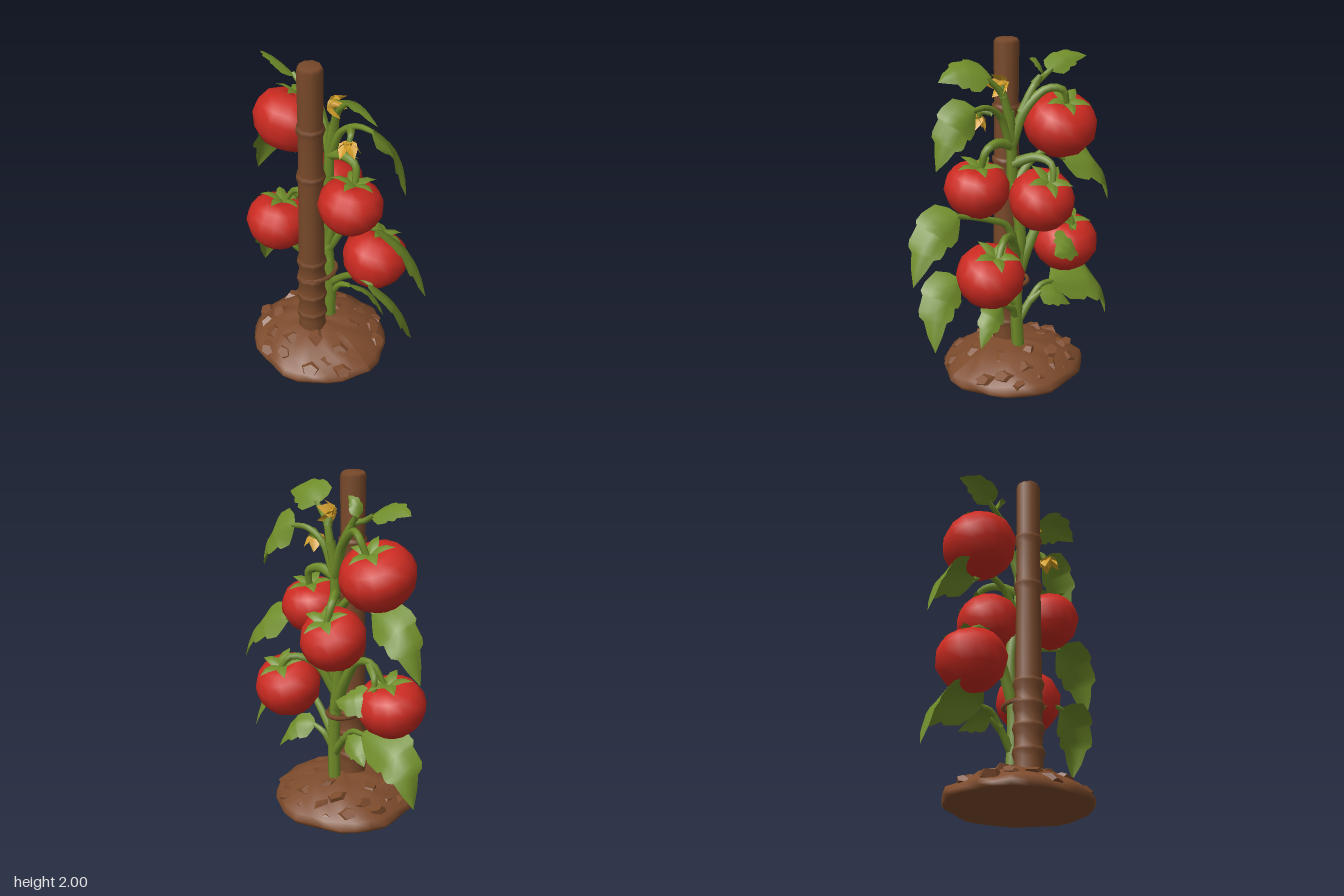
import * as THREE from 'three';

const V = (x, y, z) => new THREE.Vector3(x, y, z);
const mat = (name, color, side = THREE.FrontSide) => {
  const m = new THREE.MeshStandardMaterial({ color, side });
  m.name = name;
  return m;
};

export function createModel() {
  const root = new THREE.Group();
  root.name = 'tomatoPlant';
  const soil = mat('soil brown', 0x7d4b2c);
  const wood = mat('wood brown', 0x774829);
  const green = mat('leaf green', 0x6f8c29, THREE.DoubleSide);
  const red = mat('tomato red', 0xcb2a20);
  const yellow = mat('flower yellow', 0xd29e28, THREE.DoubleSide);

  let seed = 7;
  const rnd = () => (seed = (seed * 16807) % 2147483647) / 2147483647;
  const add = (name, geo, m, parent = root) => {
    const mesh = new THREE.Mesh(geo, m);
    mesh.name = name;
    parent.add(mesh);
    return mesh;
  };
  const lathe = (pts, n) => new THREE.LatheGeometry(pts.map(p => new THREE.Vector2(p[0], p[1])), n);

  // Tapered tube through a few points
  function stalk(name, pts, r0, r1) {
    const curve = new THREE.CatmullRomCurve3(pts.map(p => V(...p)));
    const rows = 4 * (pts.length - 1), sides = 6;
    const geo = new THREE.TubeGeometry(curve, rows, 1, sides);
    const pos = geo.attributes.position, v = V(0, 0, 0);
    for (let i = 0; i < pos.count; i++) {
      const t = Math.floor(i / (sides + 1)) / rows, c = curve.getPointAt(t);
      v.fromBufferAttribute(pos, i).sub(c).multiplyScalar(r0 + (r1 - r0) * t).add(c);
      pos.setXYZ(i, v.x, v.y, v.z);
    }
    add(name, geo, green);
  }

  // Blade swept along a curved spine; outline rows are [position, half width]
  const toothed = [[0, 0.06], [0.06, 0.55], [0.16, 0.95], [0.32, 1], [0.42, 0.98], [0.46, 0.82],
    [0.62, 0.84], [0.68, 0.78], [0.72, 0.54], [0.86, 0.36], [1, 0]];
  const plain = [[0, 0.5], [0.3, 1], [0.65, 0.7], [1, 0]];
  function bladeGeometry(base, mid, tip, half, normal, outline, fold) {
    // control point placed so that the spine passes through mid
    const ctrl = mid.clone().multiplyScalar(2).addScaledVector(base, -0.5).addScaledVector(tip, -0.5);
    const spine = new THREE.QuadraticBezierCurve3(base, ctrl, tip);
    const across = tip.clone().sub(base).setY(0).cross(normal).normalize();
    const cols = [-1, -0.5, 0, 0.5, 1], verts = [], idx = [];
    outline.forEach(([t, w], i) => {
      const p = spine.getPoint(t), T = spine.getTangent(t);
      const S = across.clone().addScaledVector(T, -across.dot(T)).normalize(), N = S.clone().cross(T);
      cols.forEach((c, j) => {
        const q = p.clone().addScaledVector(S, c * w * half).addScaledVector(N, -fold * half * w * Math.abs(c));
        verts.push(q.x, q.y, q.z);
        if (i && j) {
          const a = (i - 1) * 5 + j - 1, b = a + 1, d = a + 5, e = a + 6;
          idx.push(a, b, e, a, e, d);
        }
      });
    });
    const geo = new THREE.BufferGeometry();
    geo.setAttribute('position', new THREE.Float32BufferAttribute(verts, 3));
    geo.setIndex(idx);
    geo.computeVertexNormals();
    return geo;
  }

  // Five-pointed ring of blades, used for calyxes and flowers
  function star(name, r, half, rise, drop, m, parent) {
    for (let k = 0; k < 5; k++) {
      const a = k * Math.PI * 0.4 + 0.3, c = Math.cos(a), s = Math.sin(a);
      add(name, bladeGeometry(V(0, 0, 0), V(c * r * 0.5, rise, s * r * 0.5), V(c * r, drop, s * r),
        half, V(0, 1, 0), plain, 0.25), m, parent);
    }
  }

  // Soil mound with an uneven surface
  const mound = lathe([[0, 0], [0.39, 0], [0.405, 0.025], [0.385, 0.06], [0.32, 0.105], [0.24, 0.15], [0.15, 0.18], [0, 0.185]], 28);
  const mp = mound.attributes.position;
  for (let i = 0; i < mp.count; i++) {
    const x = mp.getX(i), y = mp.getY(i), z = mp.getZ(i), a = Math.atan2(x, z);
    const k = 1 + 0.02 * Math.sin(a * 5 + 1) + 0.02 * Math.sin(a * 9 + y * 40);
    mp.setXYZ(i, x * k, y && y + 0.012 * Math.sin(x * 31) * Math.cos(z * 27), z * k * 1.05);
  }
  mound.computeVertexNormals();
  add('soilMound', mound, soil).position.z = -0.04;

  // Broad clods half sunk in the mound
  for (let i = 0; i < 30; i++) {
    const a = i * 2.4, d = 0.12 + 0.24 * Math.sqrt((i + 0.5) / 30), r = 0.045 + 0.022 * rnd();
    const clod = add('soilClod', new THREE.DodecahedronGeometry(r, 0), soil);
    clod.position.set(Math.cos(a) * d * 0.95, 0.232 - 0.5 * d, Math.sin(a) * d - 0.04);
    clod.rotation.set(0.5 * rnd(), rnd() * 6, 0.5 * rnd());
    clod.scale.set(1.25, 0.65, 1.15);
  }

  // Wooden stake with ringed nodes
  const profile = [[0.094, 0.1]];
  for (const y of [0.3, 0.44, 0.57, 0.7, 1.31, 1.62]) {
    const r = 0.087 - y * 0.008;
    profile.push([r - 0.004, y - 0.05], [r + 0.009, y - 0.01], [r + 0.007, y + 0.008], [r - 0.004, y + 0.018]);
  }
  profile.push([0.073, 1.98], [0.06, 2], [0, 2]);
  const stake = add('stake', lathe(profile, 9), wood);
  stake.position.set(-0.068, 0, -0.04);

  // Tie holding the stem to the stake
  const tie = add('tie', new THREE.TorusGeometry(0.12, 0.015, 5, 16), wood);
  tie.rotation.x = Math.PI / 2;
  tie.scale.y = 0.75;
  tie.position.set(-0.015, 0.58, -0.035);

  // Main stem and side branches
  stalk('mainStem', [[0.073, 0.13, -0.03], [0.065, 0.5, -0.02], [0.06, 0.9, -0.05], [0.04, 1.2, -0.01], [0.04, 1.45, 0], [0.05, 1.62, 0.02]], 0.038, 0.028);
  const branches = [
    [[0.07, 0.36, -0.02], [0.09, 0.45, 0.04], [0.1, 0.48, 0.11]],
    [[0.07, 0.33, -0.03], [0.08, 0.45, -0.11], [0.08, 0.53, -0.18], [0.08, 0.54, -0.27]],
    [[0.08, 0.45, -0.11], [0.1, 0.5, -0.17]],
    [[0.07, 0.44, -0.02], [0.05, 0.6, 0.13], [0.03, 0.68, 0.25], [0.03, 0.68, 0.36]],
    [[0.06, 0.75, -0.03], [0.06, 0.95, 0.04], [0.06, 1.02, 0.18], [0.06, 1.08, 0.37]],
    [[0.06, 0.62, -0.03], [0.07, 0.8, -0.1], [0.07, 0.97, -0.21], [0.07, 0.99, -0.32], [0.04, 0.87, -0.39]],
    [[0.07, 0.98, -0.3], [0.11, 0.93, -0.37], [0.12, 0.84, -0.38]],
    [[0.05, 1.18, -0.01], [0.06, 1.32, -0.13], [0.07, 1.36, -0.23], [0.08, 1.29, -0.34]],
    [[0.04, 1.4, 0], [0.05, 1.6, 0.08], [0.07, 1.67, 0.18], [0.09, 1.67, 0.28]],
    [[0.05, 1.58, 0.02], [0.04, 1.72, 0.06], [0.03, 1.82, 0.15]],
    [[0.05, 1.6, -0.06], [0.05, 1.75, -0.15], [0.03, 1.78, -0.22], [0.03, 1.82, -0.28]],
    [[0.05, 1.75, -0.15], [0.06, 1.8, -0.18]],
    [[0.06, 1.64, 0.14], [0.02, 1.64, 0.18], [0, 1.6, 0.19]],
    [[0.04, 1.7, 0.05], [0.02, 1.77, 0.05]],
  ];
  branches.forEach((p, i) => stalk('branch', p, i === 5 ? 0.04 : 0.027, 0.014));

  // Fruit stalks
  for (const p of [
    [[0.04, 1.42, 0], [0.06, 1.62, -0.08], [0.1, 1.73, -0.2], [0.14, 1.72, -0.28], [0.125, 1.62, -0.32]],
    [[0.04, 1.42, 0], [0.05, 1.45, 0.1], [0.06, 1.42, 0.18], [0.04, 1.31, 0.2]],
    [[0.04, 1.31, -0.01], [0.14, 1.36, -0.1], [0.22, 1.33, -0.15], [0.25, 1.22, -0.14]],
    [[0.06, 0.72, -0.03], [0.13, 0.9, 0.06], [0.22, 0.94, 0.17], [0.26, 0.84, 0.235]],
  ]) stalk('fruitStalk', p, 0.032, 0.018);

  // Tomatoes: centre, radius, half height, tilt towards the left side
  const fruit = lathe([[0, -0.92], [0.25, -0.97], [0.55, -0.86], [0.84, -0.5], [1, 0], [0.96, 0.4],
    [0.78, 0.78], [0.48, 0.98], [0.2, 0.95], [0, 0.84]], 14);
  for (const [c, r, h, tilt] of [
    [[0.04, 1.485, -0.33], 0.217, 0.168, 0.42], [[0, 1.18, 0.205], 0.187, 0.148, 0.2],
    [[0.165, 1.1, -0.12], 0.19, 0.16, 0.5], [[0.18, 0.72, 0.235], 0.195, 0.165, 0.4],
    [[0.005, 0.73, -0.41], 0.2, 0.158, 0.2],
  ]) {
    const g = new THREE.Group();
    g.name = 'tomato';
    g.position.set(...c);
    g.rotation.z = -tilt;
    root.add(g);
    add('tomatoBody', fruit, red, g).scale.set(r, h, r);
    const calyx = new THREE.Group();
    calyx.name = 'calyx';
    calyx.position.y = h * 0.97;
    g.add(calyx);
    star('sepal', 0.14, 0.033, 0.03, 0.014, green, calyx);
  }

  // Leaves: base, middle, tip, half width, facing direction
  const out = [0.76, 0.65, 0];
  for (const [b, m, t, w, n = out] of [
    [[0.1, 0.48, 0.1], [0.17, 0.45, 0.22], [0.2, 0.3, 0.31], 0.08],
    [[0.1, 0.5, -0.16], [0.14, 0.47, -0.26], [0.16, 0.39, -0.35], 0.07],
    [[0.08, 0.54, -0.25], [0.11, 0.49, -0.555], [0.1, 0.22, -0.67], 0.14],
    [[0.03, 0.68, 0.34], [0.08, 0.59, 0.515], [0.15, 0.33, 0.58], 0.12],
    [[0.06, 1.08, 0.35], [0.1, 1.01, 0.565], [0.12, 0.75, 0.69], 0.125],
    [[0.08, 1.3, -0.32], [0.11, 1.235, -0.555], [0.08, 0.97, -0.675], 0.125],
    [[0.12, 0.84, -0.38], [0.2, 0.8, -0.29], [0.22, 0.77, -0.18], 0.095],
    [[0.09, 1.68, 0.26], [0.12, 1.59, 0.43], [0.1, 1.375, 0.52], 0.115, [0.9, 0.44, 0]],
    [[0.03, 1.82, 0.12], [0.0, 1.87, 0.27], [-0.03, 1.82, 0.42], 0.11, [0.65, 0.76, 0]],
    [[0.03, 1.81, -0.26], [0.01, 1.87, -0.39], [0.02, 1.86, -0.53], 0.075, [0.6, 0.8, 0]],
    [[0.06, 1.8, -0.2], [0.06, 1.87, -0.17], [0.05, 1.9, -0.11], 0.04],
  ]) add('leaf', bladeGeometry(V(...b), V(...m), V(...t), w, V(...n), toothed, 0.35), green);

  // Flowers with cupped petals
  for (const [p, axis] of [[[-0.01, 1.61, 0.19], [-0.1, -1, 0.2]], [[0.01, 1.77, 0.03], [0.3, 0, 1]]]) {
    const f = new THREE.Group();
    f.name = 'flower';
    f.position.set(...p);
    f.quaternion.setFromUnitVectors(V(0, 1, 0), V(...axis).normalize());
    root.add(f);
    star('petal', 0.068, 0.04, 0.03, 0.078, yellow, f);
    add('flowerCentre', new THREE.ConeGeometry(0.03, 0.07, 6), yellow, f).position.y = 0.035;
  }
  return root;
}
